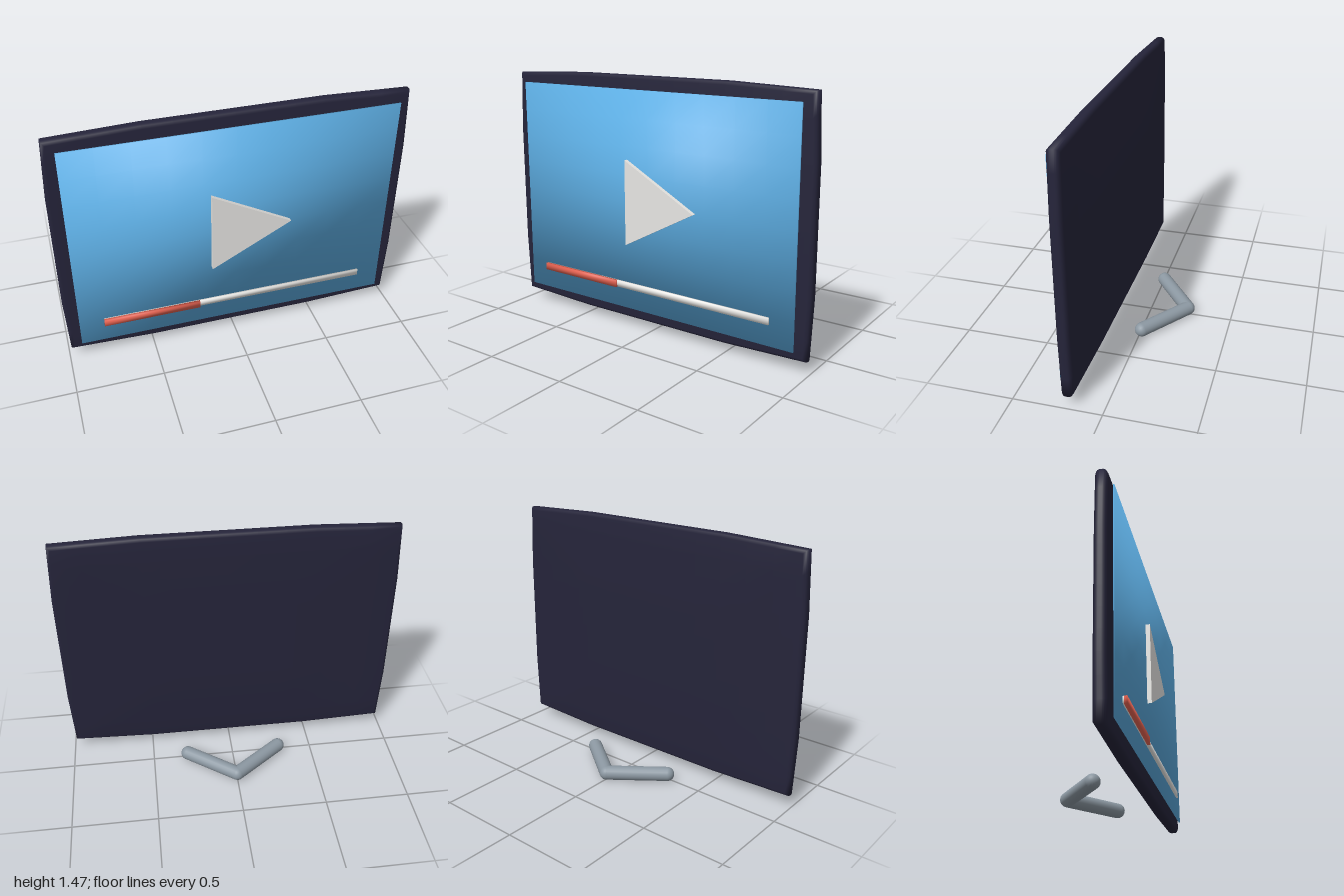
import * as THREE from 'three';
import { mergeVertices } from 'three/addons/utils/BufferGeometryUtils.js';

const mat = (name, color) => {
  const m = new THREE.MeshStandardMaterial({ color });
  m.name = name;
  return m;
};

// Zero over the middle of a side, rising to one at its ends
const taper = (t) => Math.max(0, (Math.abs(t) - 0.5) / 0.5);

// Slightly barrelled slab with rounded rim and smooth normals
function casingGeometry(hw, hh, hd) {
  let g = new THREE.BoxGeometry(2, 2, 2, 12, 12, 8);
  g.deleteAttribute('uv');
  g.deleteAttribute('normal');
  g = mergeVertices(g);
  const p = g.attributes.position;
  for (let i = 0; i < p.count; i++) {
    const u = p.getX(i), v = p.getY(i), w = p.getZ(i);
    const rim = 0.02 * w ** 4;
    p.setXYZ(
      i,
      u * (hw - 0.015 * taper(v) - rim),
      v * (hh - 0.018 * taper(u) - rim),
      w * (hd - 0.013 * Math.max(taper(u), taper(v)))
    );
  }
  g.computeVertexNormals();
  return g;
}

// Flat-sided plate whose normals fan outwards from its centre
function softPlate(w, h, d) {
  const g = new THREE.BoxGeometry(w, h, d, 10, 8, 1);
  const p = g.attributes.position, n = g.attributes.normal;
  const v = new THREE.Vector3();
  for (let i = 0; i < p.count; i++) {
    v.set(p.getX(i) / w, p.getY(i) / h, p.getZ(i) / d).normalize();
    n.setXYZ(i, v.x, v.y, v.z);
  }
  return g;
}

export function createModel() {
  const model = new THREE.Group();
  const dark = mat('dark casing', 0x25243a);
  const blue = mat('screen blue', 0x5dade2);
  const white = mat('off white', 0xecebe8);
  const red = mat('progress red', 0xe0604f);
  const grey = mat('stand grey', 0x8c98a2);

  const add = (name, geometry, material, x, y, z) => {
    const mesh = new THREE.Mesh(geometry, material);
    mesh.name = name;
    mesh.position.set(x, y, z);
    model.add(mesh);
    return mesh;
  };

  add('casing', casingGeometry(1, 0.713, 0.048), dark, 0, 0.762, 0.197);
  add('screen', softPlate(1.846, 1.28, 0.008), blue, 0, 0.76, 0.249);

  // Play triangle
  const tri = new THREE.Shape([
    new THREE.Vector2(-0.143, -0.247),
    new THREE.Vector2(0.318, 0),
    new THREE.Vector2(-0.143, 0.247),
  ]);
  const triGeo = new THREE.ExtrudeGeometry(tri, { depth: 0.025, bevelEnabled: false });
  add('playTriangle', triGeo, white, 0, 0.76, 0.253);

  // Progress bar: full track with the played part in front
  add('progressTrack', softPlate(1.566, 0.04, 0.01), white, 0, 0.262, 0.261);
  add('progressPlayed', softPlate(0.563, 0.042, 0.016), red, -0.502, 0.262, 0.27);

  // V-shaped stand lying on the ground, two mirrored round arms
  const stand = new THREE.Group();
  stand.name = 'stand';
  const apex = new THREE.Vector3(0, 0.042, -0.233);
  for (const side of [-1, 1]) {
    const end = new THREE.Vector3(side * 0.286, 0.042, -0.016);
    const dir = end.clone().sub(apex);
    const arm = new THREE.Mesh(new THREE.CapsuleGeometry(0.042, dir.length(), 8, 20), grey);
    arm.name = side < 0 ? 'rightStandArm' : 'leftStandArm';
    arm.position.copy(apex).add(end).multiplyScalar(0.5);
    arm.quaternion.setFromUnitVectors(new THREE.Vector3(0, 1, 0), dir.normalize());
    stand.add(arm);
  }
  model.add(stand);
  return model;
}
